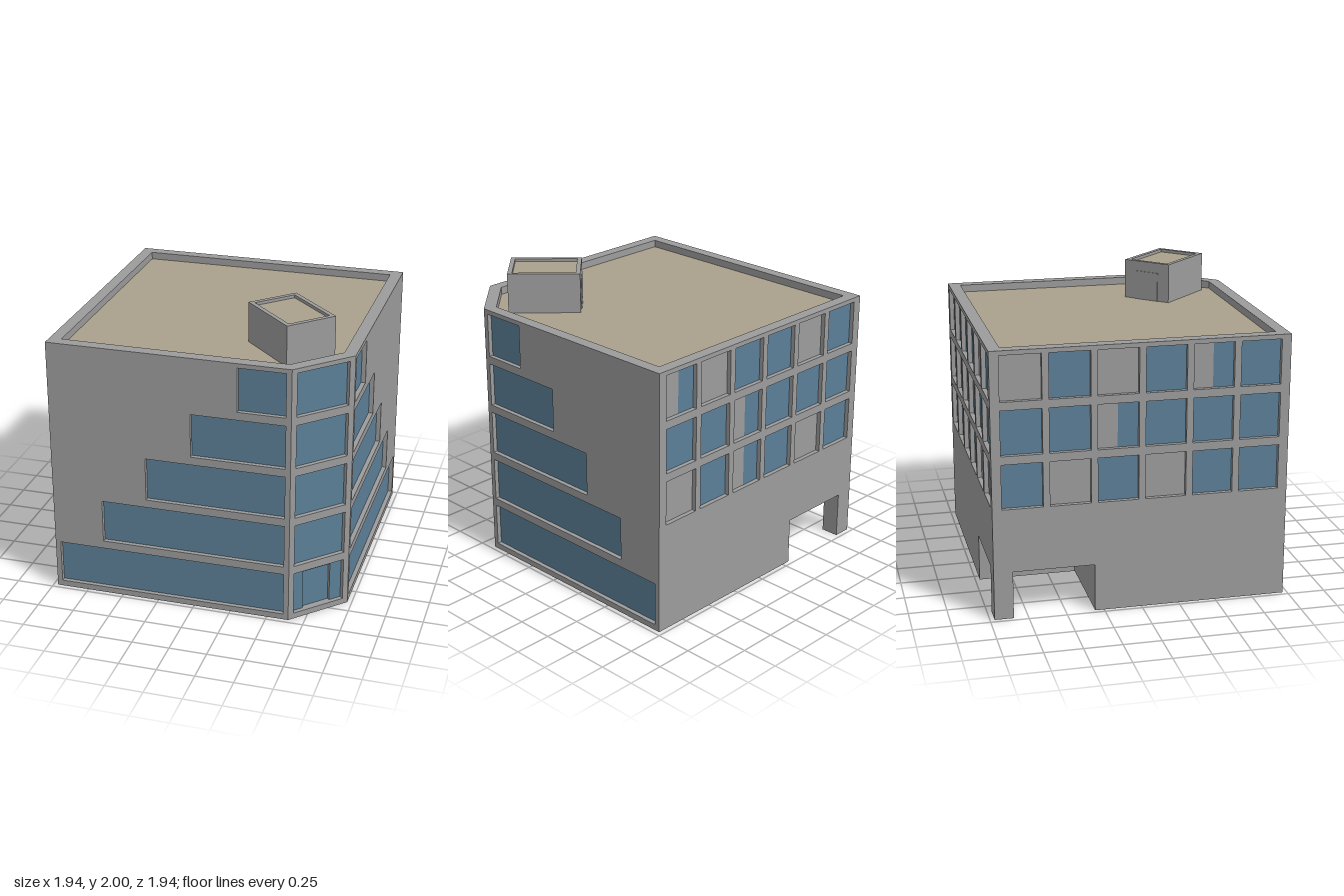
import * as THREE from 'three';

const mat = (name, color) => {
  const m = new THREE.MeshStandardMaterial({ color, side: THREE.DoubleSide });
  m.name = name;
  return m;
};

const H = 1.78, R = 0.97, C = 0.645, DECK = 1.73, RECESS = 0.03;
const PORCH = { inner: 0.31, pillar: 0.845, height: 0.32 };
const rowY = (i) => 0.04 + 0.353 * i, ROW_H = 0.298;

export function createModel() {
  const concrete = mat('concrete grey', 0x9c9c9c);
  const glass = mat('window blue', 0x5c7f97);
  const gravel = mat('roof tan', 0xaaa18c);
  const model = new THREE.Group();
  model.name = 'officeBuilding';

  const add = (parent, name, geo, material) => {
    const mesh = new THREE.Mesh(geo, material);
    mesh.name = name;
    parent.add(mesh);
    return mesh;
  };
  const vecs = (pts) => pts.map(([x, y]) => new THREE.Vector2(x, y));
  const rect = (x0, y0, x1, y1) => [[x0, y0], [x1, y0], [x1, y1], [x0, y1]];
  const plate = (pts, holes = []) => {
    const s = new THREE.Shape(vecs(pts));
    holes.forEach((h) => s.holes.push(new THREE.Path(vecs(h))));
    return new THREE.ShapeGeometry(s);
  };
  // Strip of quads that follows a closed outline from z = 0 back to z = -depth
  const band = (pts, depth) => {
    const v = [];
    pts.forEach(([x, y], i) => {
      const [u, w] = pts[(i + 1) % pts.length];
      v.push(x, y, 0, x, y, -depth, u, w, -depth, x, y, 0, u, w, -depth, u, w, 0);
    });
    const g = new THREE.BufferGeometry();
    g.setAttribute('position', new THREE.Float32BufferAttribute(v, 3));
    g.computeVertexNormals();
    return g;
  };
  const flat = (geo, y) => geo.rotateX(-Math.PI / 2).translate(0, y, 0);

  // Window opening set back from the wall: kind g = glass, b = blind, h = half blind
  const addWindow = (wall, [x0, y0, x1, y1], kind) => {
    add(wall, 'windowReveal', band(rect(x0, y0, x1, y1), RECESS), concrete);
    const pane = (name, a, b, m) =>
      add(wall, name, plate(rect(a, y0, b, y1)).translate(0, 0, -RECESS), m);
    if (kind === 'g') pane('windowPane', x0, x1, glass);
    if (kind === 'b') pane('windowBlind', x0, x1, concrete);
    if (kind === 'h') {
      const mid = (x0 + x1) / 2;
      pane('windowBlind', x0, mid, concrete);
      pane('windowPane', mid, x1, glass);
    }
  };

  // Facade drawn in its own plane, then turned to face outward
  const addWall = (name, outline, windows, angle, dist = R) => {
    const wall = new THREE.Group();
    wall.name = name;
    add(wall, 'wallPanel', plate(outline, windows.map((w) => rect(...w.box))), concrete);
    windows.forEach((w) => addWindow(wall, w.box, w.kind));
    wall.rotation.y = angle;
    wall.position.set(Math.sin(angle) * dist, 0, Math.cos(angle) * dist);
    model.add(wall);
    return wall;
  };

  // Two street facades with stepped window bands
  const floors = [0, 1, 2, 3, 4];
  const step = (i) => -0.935 + 0.308 * i;
  const box = (x0, x1, i) => ({ box: [x0, rowY(i), x1, rowY(i) + ROW_H], kind: 'g' });
  addWall('frontWall', rect(-R, 0, C, H), floors.map((i) => box(step(i), 0.61, i)), 0);
  addWall('leftWall', rect(-C, 0, R, H), floors.map((i) => box(-0.61, -step(i), i)), Math.PI / 2);

  // Chamfered entrance corner
  const cw = (R - C) / Math.SQRT2;
  const entry = floors.map((i) => box(-0.19, 0.19, i));
  entry[0].kind = 'entrance';
  const corner = addWall('entranceCorner', rect(-cw, 0, cw, H), entry, Math.PI / 4, (R + C) / Math.SQRT2);
  const door = rect(-0.103, rowY(0), 0.103, 0.315);
  const [a, b, c, d] = entry[0].box;
  const surround = [[a, b], [-0.103, b], [-0.103, 0.315], [0.103, 0.315], [0.103, b], [c, b], [c, d], [a, d]];
  add(corner, 'entranceGlazing', plate(surround).translate(0, 0, -RECESS), glass);
  add(corner, 'doorReveal', band(door, 0.02).translate(0, 0, -RECESS), concrete);
  add(corner, 'entranceDoor', plate(door).translate(0, 0, -RECESS - 0.02), glass);

  // Two rear facades with a window grid and the porch opening
  const grid = (rows) => rows.flatMap((row, r) => [...row].map((kind, i) => {
    const x = (i - 2.5) * 0.31;
    return { ...box(x - 0.133, x + 0.133, 4 - r), kind };
  }));
  const { inner, pillar, height } = PORCH;
  const notched = (s) => [[-R, 0], [inner, 0], [inner, height], [pillar, height], [pillar, 0], [R, 0], [R, H], [-R, H]]
    .map(([x, y]) => [s * x, y]);
  addWall('backWall', notched(1), grid(['hbggbg', 'gghggg', 'bghgbg']), Math.PI);
  addWall('rightWall', notched(-1), grid(['bgbghg', 'gghggg', 'gbgbgg']), -Math.PI / 2);

  // Corner porch: ceiling, two inner walls and the pillar's inner sides
  const porch = new THREE.Group();
  porch.name = 'porch';
  model.add(porch);
  add(porch, 'porchCeiling', flat(plate(rect(-R, inner, -inner, R)), height), concrete);
  const upright = (name, lim, at) => {
    add(porch, name, plate(rect(-R, 0, lim, height)).translate(0, 0, at), concrete);
    add(porch, name, plate(rect(-R, 0, lim, height)).rotateY(-Math.PI / 2).translate(at, 0, 0), concrete);
  };
  upright('porchWall', -inner, -inner);
  upright('pillarSide', -pillar, -pillar);

  // Raised rim with a sunken deck, outlines given as (x, -z)
  const addRoof = (parent, outer, rim, top, deck) => {
    add(parent, 'parapetTop', flat(plate(outer, [rim]), top), concrete);
    add(parent, 'parapetInside', flat(band(rim, top - deck), top), concrete);
    add(parent, 'roofDeck', flat(plate(rim), deck), gravel);
  };
  const footprint = (r, k) => [[-r, -r], [k, -r], [r, -k], [r, r], [-r, r]];
  addRoof(model, footprint(R, C), footprint(0.89, 0.612), H, DECK);

  // Roof access hut, turned to match the entrance corner
  const hut = new THREE.Group();
  hut.name = 'roofHut';
  hut.position.set(0.527, 0, 0.527);
  hut.rotation.y = Math.PI / 4;
  model.add(hut);
  const hw = 0.177, hd = 0.24, lip = 0.03;
  const hutOutline = rect(-hw, -hd, hw, hd);
  add(hut, 'hutWalls', flat(band(hutOutline, 2 - DECK), 2), concrete);
  addRoof(hut, hutOutline, rect(-hw + lip, -hd + lip, hw - lip, hd - lip), 2, 1.98);
  add(hut, 'hutDoor', new THREE.BoxGeometry(0.18, 0.2, 0.008), concrete).position.set(0, DECK + 0.1, -hd - 0.002);

  return model;
}
